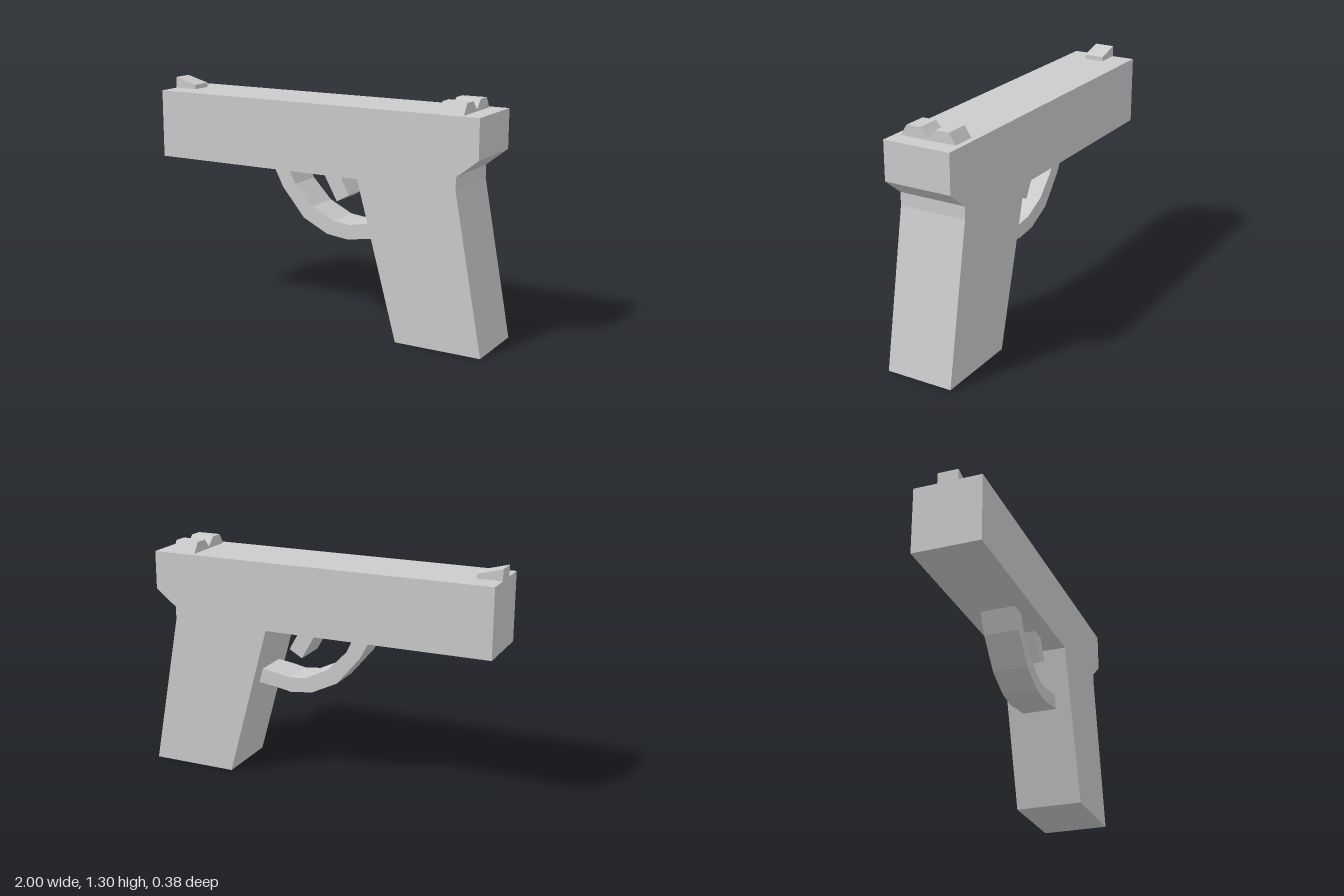
import * as THREE from 'three';

const material = new THREE.MeshStandardMaterial({ color: 0xcccccc, flatShading: true });

// Flat outline extruded to a given width, centred on its own z axis
function slab(name, points, width) {
  const shape = new THREE.Shape(points.map(([x, y]) => new THREE.Vector2(x, y)));
  const geometry = new THREE.ExtrudeGeometry(shape, { depth: width, bevelEnabled: false });
  geometry.translate(0, 0, -width / 2);
  const mesh = new THREE.Mesh(geometry, material);
  mesh.name = name;
  return mesh;
}

export function createModel() {
  const model = new THREE.Group();
  model.name = 'pistol';

  // Slide and raked grip share one side outline
  model.add(slab('slideAndGrip', [
    [-1, 0.86], [0.275, 0.86], [0.51, 0], [1, 0], [0.84, 0.86],
    [0.84, 0.932], [0.96, 1.026], [0.96, 1.24], [-1, 1.24],
  ], 0.38));

  // Curved guard strap, ends tucked into the frame and grip
  const outer = [[-0.315, 0.88], [-0.305, 0.86], [-0.245, 0.745], [-0.11, 0.585], [0.04, 0.512], [0.17, 0.497], [0.27, 0.515], [0.4, 0.53]];
  const inner = [[-0.22, 0.88], [-0.21, 0.86], [-0.165, 0.77], [-0.055, 0.655], [0.08, 0.59], [0.175, 0.58], [0.25, 0.595], [0.39, 0.615]];
  model.add(slab('triggerGuard', [...outer, ...inner.reverse()], 0.2));

  // Slanted trigger
  model.add(slab('trigger', [[0, 0.88], [0.1, 0.702], [0.175, 0.745], [0.1, 0.88]], 0.2));

  // Wedge sight at the muzzle
  model.add(slab('frontSight', [[-1, 1.23], [-0.863, 1.23], [-0.863, 1.265], [-1, 1.302]], 0.115));

  // Notched sight at the rear, its outline facing along x
  const rearSight = slab('rearSight', [
    [-0.16, 1.238], [0.16, 1.238], [0.122, 1.298], [0.045, 1.298],
    [0, 1.25], [-0.045, 1.298], [-0.122, 1.298],
  ], 0.136);
  rearSight.rotation.y = Math.PI / 2;
  rearSight.position.x = 0.793;
  model.add(rearSight);

  return model;
}
